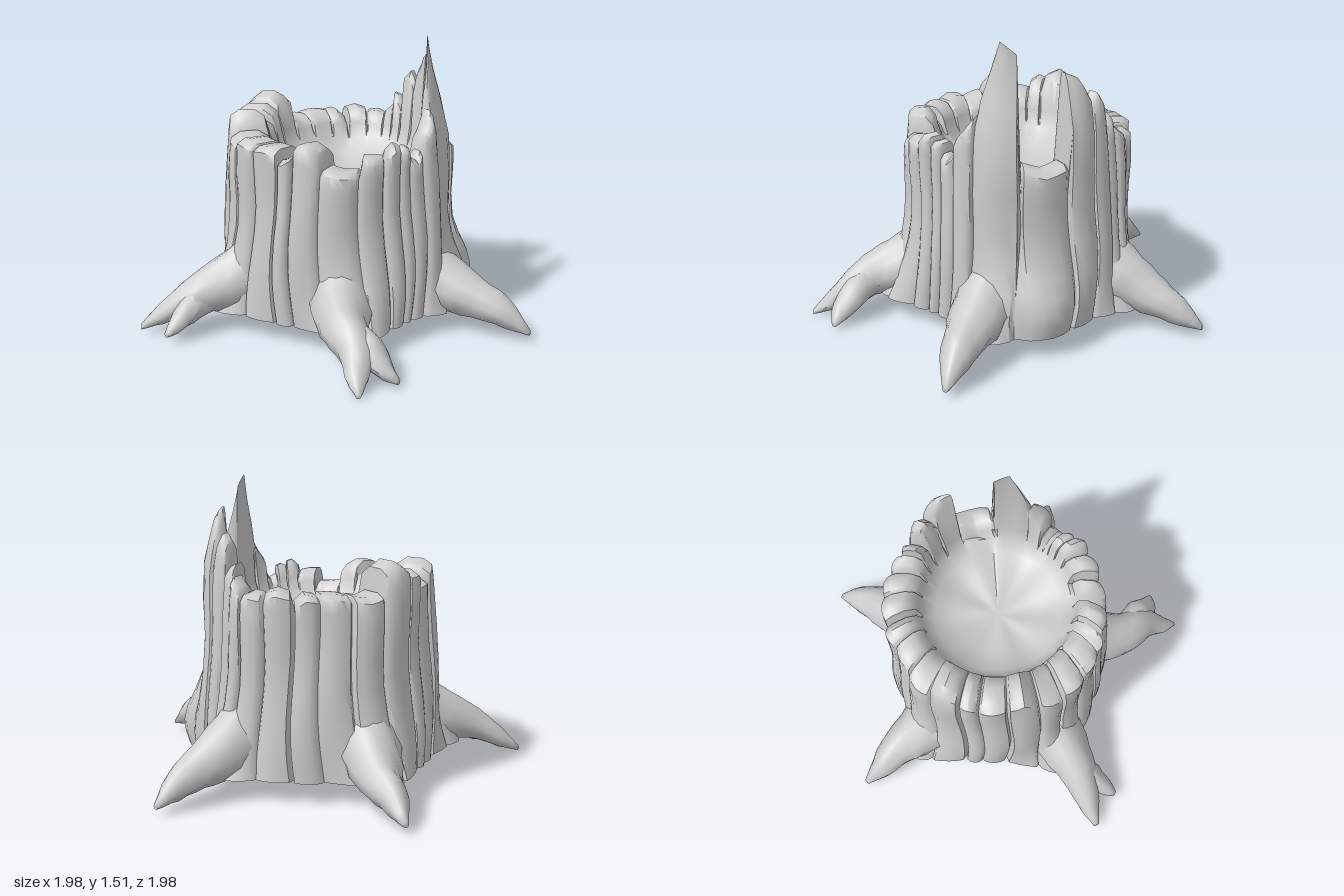
import * as THREE from 'three';
import { toCreasedNormals } from 'three/addons/utils/BufferGeometryUtils.js';

const wood = new THREE.MeshStandardMaterial({ color: 0xcccccc });
wood.name = 'pale wood';

let seed = 7;
const rnd = () => { // seeded, -1..1
  seed = (seed * 16807) % 2147483647;
  return (seed / 2147483647) * 2 - 1;
};

// Skin a stack of closed rings (each ring an array of [x, y, z])
function skin(name, rings, crease) {
  const pos = [];
  const same = (a, b) => Math.hypot(a[0] - b[0], a[1] - b[1], a[2] - b[2]) < 1e-5;
  const tri = (a, b, c) => {
    if (!same(a, b) && !same(b, c) && !same(a, c)) pos.push(...a, ...b, ...c);
  };
  for (let j = 0; j < rings.length - 1; j++) {
    const n = rings[j].length;
    for (let i = 0; i < n; i++) {
      const k = (i + 1) % n;
      tri(rings[j][i], rings[j + 1][i], rings[j + 1][k]);
      tri(rings[j][i], rings[j + 1][k], rings[j][k]);
    }
  }
  const geo = new THREE.BufferGeometry();
  geo.setAttribute('position', new THREE.Float32BufferAttribute(pos, 3));
  const mesh = new THREE.Mesh(toCreasedNormals(geo, crease), wood);
  mesh.name = name;
  return mesh;
}

// Bark slabs round the rim: start angle (0 = +x, 90 = +z), height at start, middle, end, groove depth
const SLABS = [
  [12, 1.44, 1.51, 1.2, 0.03], [36, 1.17, 1.1, 1.04, 0.008], [47, 0.98, 0.93, 0.96, 0.008],
  [56, 1, 1.01, 1, 0.01], [63, 1.02, 1.03, 0.99, 0.008], [72, 0.97, 0.98, 0.98, 0.012],
  [85, 0.91, 0.91, 0.93, 0.012], [104, 1, 1.04, 1.03, 0.008], [119, 0.99, 0.96, 0.95, 0.01],
  [127, 1, 1.01, 1, 0.03], [143, 1, 1.02, 1.01, 0.012], [158, 0.98, 1, 1.02, 0.03],
  [171, 1.03, 1.11, 1.06, 0.01], [188, 1.02, 1.03, 1.02, 0.03], [203, 1.06, 1.09, 1.08, 0.01],
  [213, 1.1, 1.14, 1.1, 0.025], [230, 1, 0.98, 0.99, 0.01], [246, 0.99, 1, 1, 0.03],
  [262, 0.99, 1, 0.95, 0.01], [275, 1, 1.02, 1, 0.035], [290, 0.99, 1, 0.98, 0.01],
  [303, 1, 1.03, 1.06, 0.03], [311, 1.12, 1.1, 1.06, 0.008], [319, 1.2, 1.25, 1.18, 0.012],
  [331, 1.24, 1.34, 1.37, 0.025], [347, 0.95, 0.92, 0.95, 0.012],
];
const ROOT_ANGLES = [25, 90, 160, 238, 308];

function trunk() {
  // Columns: a groove at each slab edge, then points across the rounded slab
  const cols = [];
  SLABS.forEach(([a0, h0, h1, h2, depth], s) => {
    const a1 = s + 1 < SLABS.length ? SLABS[s + 1][0] : SLABS[0][0] + 360;
    const prev = SLABS[(s + SLABS.length - 1) % SLABS.length][3];
    const out = rnd() * 0.01;
    for (const u of [0, 0.08, 0.28, 0.5, 0.72, 0.92]) {
      const h = u < 0.5 ? h0 + (h1 - h0) * u * 2 : h1 + (h2 - h1) * (u - 0.5) * 2;
      cols.push({
        deg: a0 + (a1 - a0) * u,
        h: u === 0 ? Math.min(h0, prev) - 0.015 : h,
        bump: u === 0 ? -depth : out + 0.018 * Math.sin(Math.PI * u),
        notch: u === 0 ? 0.015 : 0,
      });
    }
  });
  const gap = (a, b) => Math.abs(((a - b + 540) % 360) - 180);
  const outer = (c, y) => {
    // the grain wanders sideways a little on the way up
    const wander = 3 * Math.sin(y * 5 + c.deg / 23) * Math.max(0, 1 - y);
    const a = THREE.MathUtils.degToRad(c.deg + wander);
    const low = Math.max(0, 1 - (y - 0.11) / 0.58);
    let r = c.bump + 0.025 * low + 0.01 * Math.sin(y * 7 + c.deg / 11);
    for (const g of ROOT_ANGLES) r += 0.14 * low * low * Math.exp(-((gap(c.deg, g) / 14) ** 2));
    // bulging foot on the +x side
    r += 0.1 * Math.exp(-((gap(c.deg, 2) / 16) ** 2)) * Math.exp(-(((y - 0.25) / 0.2) ** 2));
    r -= 0.05 * Math.max(0, y - 0.85) + 0.2 * Math.max(0, y - 1.05); // tall splinters lean in
    return [0.06 + (0.575 + r) * Math.cos(a), y, -0.1 + (0.555 + r) * Math.sin(a)];
  };
  const inner = (c, y, r) => {
    const a = THREE.MathUtils.degToRad(c.deg);
    return [0.105 + r * Math.cos(a), y, -0.08 + r * Math.sin(a)];
  };
  const mix = (p, q, k) => p.map((v, i) => v + (q[i] - v) * k);
  const rings = [cols.map(() => [0.05, 0.11, -0.1])]; // flat underside
  for (const t of [0, 0.08, 0.16, 0.25, 0.36, 0.5, 0.65, 0.8, 0.9, 0.97]) {
    rings.push(cols.map((c) => outer(c, 0.11 + (c.h - 0.11) * t)));
  }
  // broken rim, thinner where the splinters stand tall
  const thin = (c) => THREE.MathUtils.clamp(1 - (c.h - 1) * 0.9, 0.5, 1);
  for (const [k, dy] of [[0.2, 0], [0.65, 0.005], [0.95, -0.03]]) {
    rings.push(cols.map((c) => mix(outer(c, c.h + dy), inner(c, c.h + dy, 0.41), k * thin(c))));
  }
  // inner wall and hollow bowl
  rings.push(cols.map((c) => inner(c, Math.min(c.h - 0.06, 0.94), 0.405 + c.notch)));
  for (const [y, r] of [[0.86, 0.385], [0.8, 0.33], [0.76, 0.23], [0.745, 0.11], [0.74, 0]]) {
    rings.push(cols.map((c) => inner(c, y + r * 0.03 * Math.sin(c.deg / 9), r)));
  }
  return skin('trunk', rings, 0.85);
}

// Root along [x, y, z, halfWidth, halfHeight] stations
function root(name, stations) {
  const path = new THREE.CatmullRomCurve3(stations.map((s) => new THREE.Vector3(s[0], s[1], s[2])));
  const size = new THREE.CatmullRomCurve3(stations.map((s) => new THREE.Vector3(s[3], s[4], 0)));
  const steps = (stations.length - 1) * 3;
  const rings = [];
  for (let j = 0; j <= steps; j++) {
    const p = path.getPoint(j / steps);
    const s = size.getPoint(j / steps);
    const d = path.getTangent(j / steps).setY(0).normalize();
    const ring = [];
    for (let i = 0; i < 12; i++) {
      const a = (i / 12) * Math.PI * 2;
      const w = 1 + rnd() * 0.05;
      // narrower crest, wider foot
      const side = Math.cos(a) * s.x * w * (1 - 0.3 * Math.max(0, Math.sin(a)));
      ring.push([p.x - d.z * side, p.y + Math.sin(a) * s.y * w, p.z + d.x * side]);
    }
    rings.push(ring);
  }
  const tip = path.getPoint(1);
  rings.push(rings[0].map(() => [tip.x, tip.y, tip.z]));
  return skin(name, rings, 1);
}

export function createModel() {
  const model = new THREE.Group();
  model.name = 'treeStump';
  model.add(
    trunk(),
    root('frontRoot', [
      [0.03, 0.33, 0.34, 0.17, 0.21], [0.02, 0.24, 0.52, 0.15, 0.15], [0.03, 0.2, 0.65, 0.12, 0.12],
      [0.07, 0.15, 0.79, 0.09, 0.09], [0.06, 0.07, 0.9, 0.055, 0.05], [0.06, 0.015, 0.985, 0.012, 0.012]]),
    root('frontRootFork', [
      [0.05, 0.18, 0.64, 0.07, 0.08], [0.14, 0.14, 0.78, 0.08, 0.08], [0.2, 0.08, 0.85, 0.055, 0.05],
      [0.255, 0.035, 0.89, 0.015, 0.015]]),
    root('leftRoot', [
      [0.46, 0.33, 0.08, 0.18, 0.21], [0.6, 0.25, 0.19, 0.16, 0.16], [0.74, 0.19, 0.29, 0.12, 0.11],
      [0.88, 0.135, 0.38, 0.075, 0.08], [0.985, 0.05, 0.445, 0.015, 0.015]]),
    root('rightRoot', [
      [-0.38, 0.33, 0.07, 0.17, 0.21], [-0.56, 0.25, 0.13, 0.14, 0.15], [-0.72, 0.2, 0.17, 0.1, 0.1],
      [-0.88, 0.11, 0.19, 0.06, 0.06], [-0.99, 0.04, 0.205, 0.015, 0.015]]),
    root('rightRootFork', [
      [-0.62, 0.2, 0.16, 0.08, 0.09], [-0.74, 0.15, 0.24, 0.07, 0.08], [-0.81, 0.09, 0.31, 0.045, 0.045],
      [-0.85, 0.055, 0.35, 0.015, 0.015]]),
    root('backRightRoot', [
      [-0.2, 0.33, -0.46, 0.18, 0.21], [-0.26, 0.25, -0.62, 0.15, 0.16], [-0.31, 0.18, -0.76, 0.11, 0.11],
      [-0.39, 0.12, -0.89, 0.065, 0.075], [-0.44, 0.05, -0.99, 0.015, 0.015]]),
    root('backLeftRoot', [
      [0.35, 0.33, -0.45, 0.18, 0.21], [0.46, 0.25, -0.6, 0.15, 0.16], [0.56, 0.18, -0.71, 0.11, 0.11],
      [0.65, 0.12, -0.82, 0.07, 0.075], [0.71, 0.05, -0.91, 0.015, 0.015]]),
  );
  return model;
}
